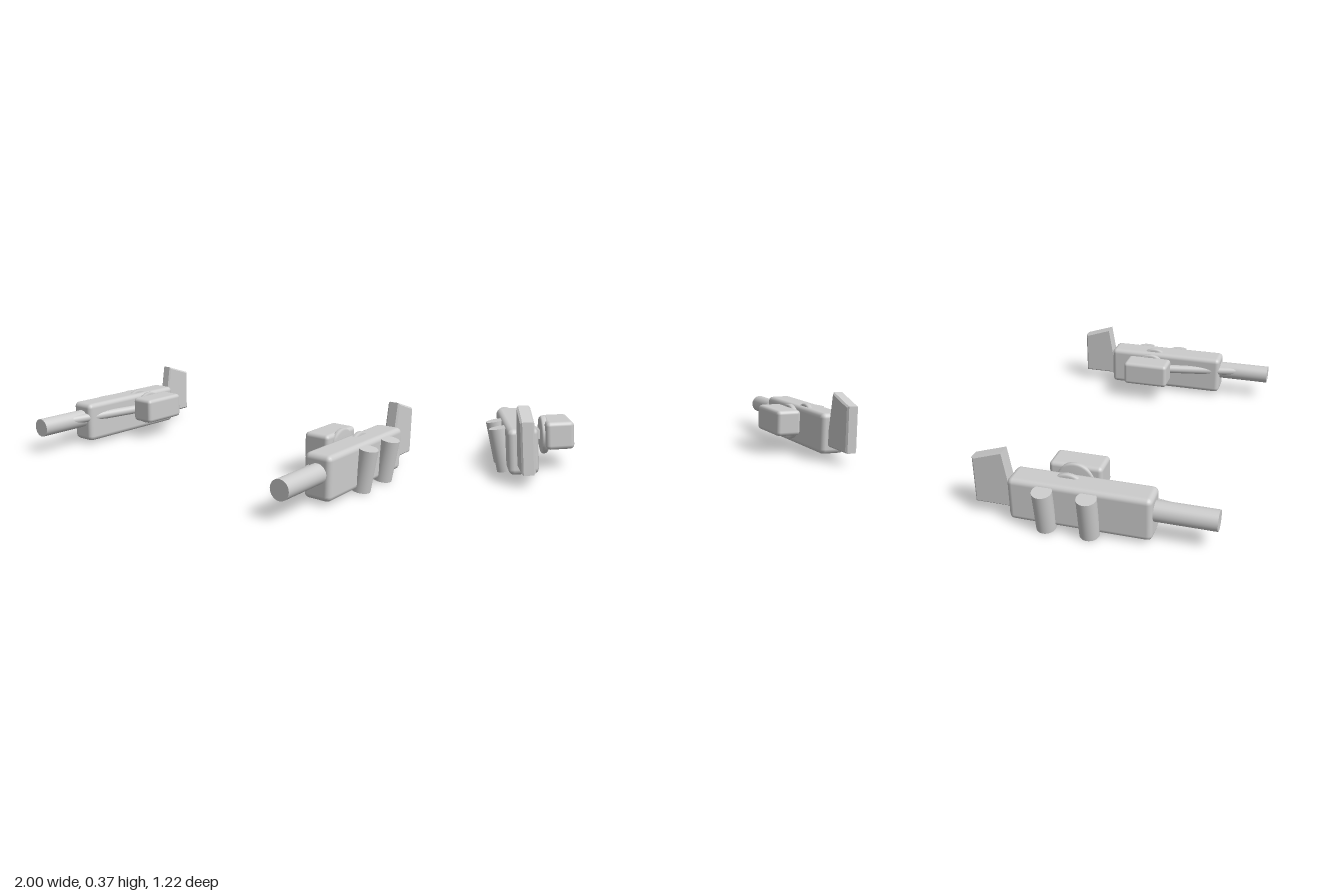
import * as THREE from 'three';
import { RoundedBoxGeometry } from 'three/addons/geometries/RoundedBoxGeometry.js';

const grey = new THREE.MeshStandardMaterial({ color: 0xcccccc });
grey.name = 'light grey';

function add(parent, name, geometry, x = 0, y = 0, z = 0) {
  const mesh = new THREE.Mesh(geometry, grey);
  mesh.name = name;
  mesh.position.set(x, y, z);
  parent.add(mesh);
  return mesh;
}

// Cylinder running between two points
function rod(parent, name, a, b, radius) {
  const from = new THREE.Vector3(...a), to = new THREE.Vector3(...b);
  const dir = to.clone().sub(from);
  const mesh = add(parent, name, new THREE.CylinderGeometry(radius, radius, dir.length(), 32));
  mesh.position.copy(from).add(to).multiplyScalar(0.5);
  mesh.quaternion.setFromUnitVectors(new THREE.Vector3(0, 1, 0), dir.normalize());
  return mesh;
}

// Disc with chamfered rims, its axis along x
function discGeometry(radius, width, bevel) {
  const h = width / 2;
  const profile = [[0, -h], [radius - bevel, -h], [radius, -h + bevel], [radius, h - bevel], [radius - bevel, h], [0, h]];
  const points = profile.map(([r, y]) => new THREE.Vector2(r, y));
  return new THREE.LatheGeometry(points, 32).rotateZ(Math.PI / 2);
}

// Slanted tail plate, outlined in z and y
function finGeometry() {
  const outline = [[-0.395, 0.062], [-0.445, 0.37], [-0.612, 0.315], [-0.612, 0.062]];
  const shape = new THREE.Shape(outline.map(([z, y]) => new THREE.Vector2(z, y)));
  const bevel = 0.009, width = 0.066;
  return new THREE.ExtrudeGeometry(shape, {
    depth: width - 2 * bevel, bevelThickness: bevel, bevelSize: bevel, bevelOffset: -bevel, bevelSegments: 1,
  }).translate(0, 0, -width / 2 + bevel).rotateY(-Math.PI / 2);
}

function createBlaster(side) {
  const g = new THREE.Group();
  g.name = side > 0 ? 'leftBlaster' : 'rightBlaster';

  add(g, 'body', new RoundedBoxGeometry(0.15, 0.23, 0.725, 2, 0.028), side * 0.847, 0.133, -0.055);
  rod(g, 'barrel', [side * 0.85, 0.154, 0.25], [side * 0.85, 0.154, 0.612], 0.052);
  add(g, 'tailFin', finGeometry(), side * 0.847);

  // Leaning canisters on the outer side
  for (const z of [0, -0.222]) {
    rod(g, 'canister', [side * 0.917, 0.0075, z], [side * 0.95, 0.228, z], 0.05);
  }

  // Inner pad with its pair of pivot discs and a brace to the barrel
  add(g, 'pad', new RoundedBoxGeometry(0.145, 0.145, 0.28, 2, 0.022), side * 0.643, 0.177, -0.139);
  for (const x of [0.714, 0.818]) {
    add(g, 'pivotDisc', discGeometry(0.1, 0.035, 0.008), side * x, 0.164, -0.136);
  }
  rod(g, 'brace', [side * 0.725, 0.164, -0.138], [side * 0.828, 0.164, 0.42], 0.026);
  return g;
}

export function createModel() {
  const model = new THREE.Group();
  model.name = 'pairedBlasters';
  model.add(createBlaster(1), createBlaster(-1));
  return model;
}
